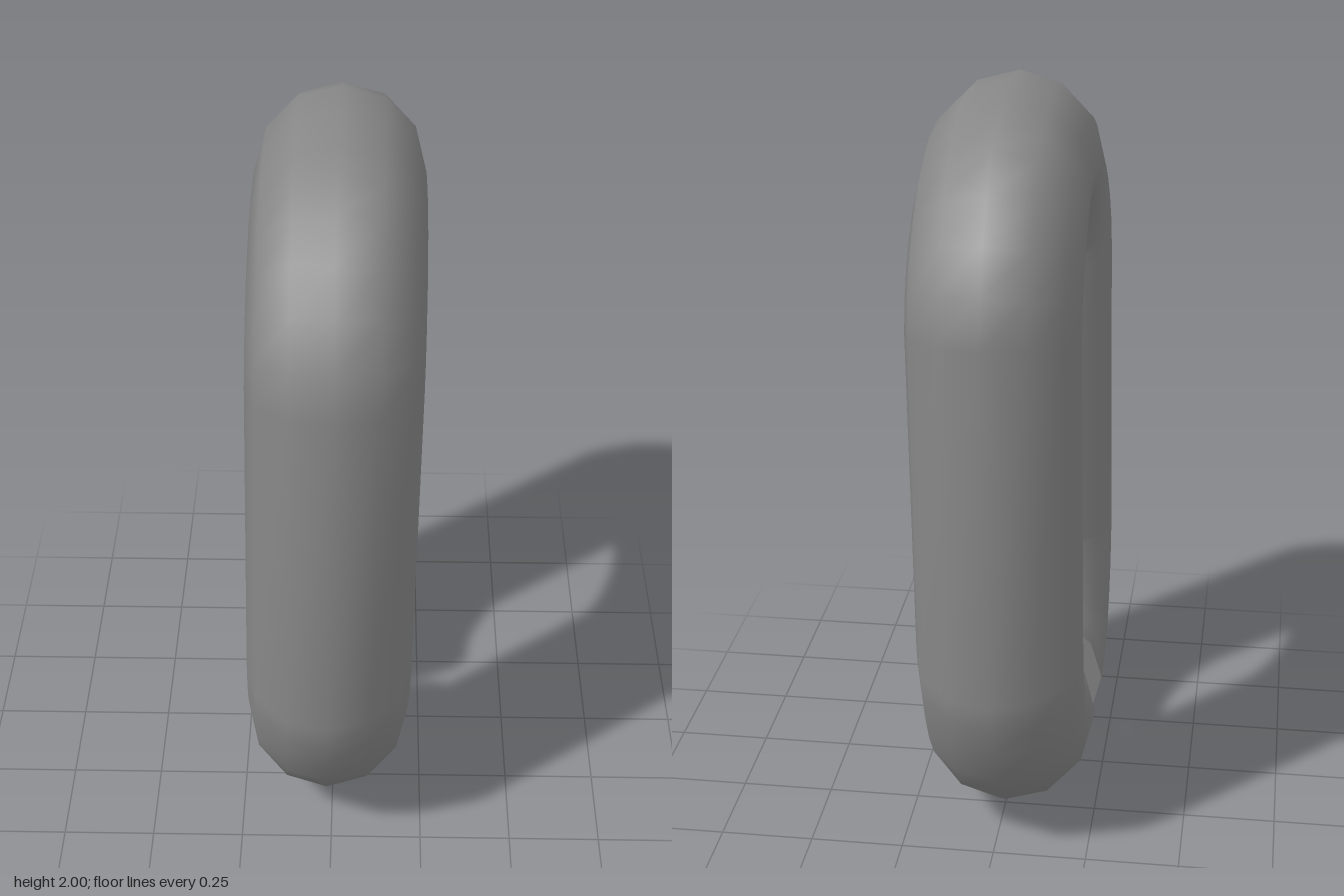
import * as THREE from 'three';

const SIDES = 12, RADIUS = 0.222, LEAN = 0.016;

// Mitred cross-sections of one half, from the cut up to the crown:
// [inner z, inner y, outer z, outer y]
const HALF = [
  [0.075, 0.45, 0.122, 0],
  [0.12, 0.452, 0.235, 0.023],
  [0.14, 0.465, 0.345, 0.073],
  [0.152, 0.483, 0.445, 0.138],
  [0.164, 0.51, 0.53, 0.24],
  [0.175, 0.54, 0.587, 0.35],
  [0.184, 0.57, 0.62, 0.44],
  [0.19, 0.6, 0.637, 0.522],
  [0.19, 1.4, 0.637, 1.49],
  [0.183, 1.435, 0.605, 1.615],
  [0.166, 1.47, 0.545, 1.725],
  [0.142, 1.503, 0.455, 1.825],
  [0.113, 1.527, 0.358, 1.905],
  [0.083, 1.542, 0.26, 1.953],
  [0.055, 1.55, 0.17, 1.985],
  [0, 1.555, 0, 2],
];

// One twelve-sided ring of points; the whole link leans slightly sideways
function ringPoints([iz, iy, oz, oy]) {
  const points = [];
  for (let j = 0; j < SIDES; j++) {
    const a = (j / SIDES) * Math.PI * 2;
    const t = (1 + Math.cos(a)) / 2;
    const y = iy + (oy - iy) * t;
    const x = RADIUS * Math.sin(a) + LEAN * (y - 1);
    points.push(new THREE.Vector3(x, y, iz + (oz - iz) * t));
  }
  return points;
}

function makeGeometry(points, index) {
  const geometry = new THREE.BufferGeometry().setFromPoints(points);
  geometry.setIndex(index);
  geometry.computeVertexNormals();
  return geometry;
}

export function createModel() {
  const group = new THREE.Group();
  group.name = 'openChainLink';
  const material = new THREE.MeshStandardMaterial({ color: 0x878787 });
  const add = (name, geometry) => {
    const mesh = new THREE.Mesh(geometry, material);
    mesh.name = name;
    group.add(mesh);
  };

  // Mirror the half across z to run the path from cut to cut
  const mirrored = HALF.slice(0, -1).reverse().map(([iz, iy, oz, oy]) => [-iz, iy, -oz, oy]);
  const rings = [...HALF, ...mirrored].map(ringPoints);

  // Smooth link body
  const index = [];
  for (let i = 0; i < rings.length - 1; i++) {
    for (let j = 0; j < SIDES; j++) {
      const k = (j + 1) % SIDES;
      const a = i * SIDES + j, b = i * SIDES + k;
      index.push(a, b, b + SIDES, a, b + SIDES, a + SIDES);
    }
  }
  add('linkBody', makeGeometry(rings.flat(), index));

  // Flat faces on both sides of the gap
  const fan = [], reversedFan = [];
  for (let j = 1; j < SIDES - 1; j++) {
    fan.push(0, j, j + 1);
    reversedFan.push(0, j + 1, j);
  }
  add('frontCutFace', makeGeometry(rings[0], reversedFan));
  add('backCutFace', makeGeometry(rings[rings.length - 1], fan));

  return group;
}
